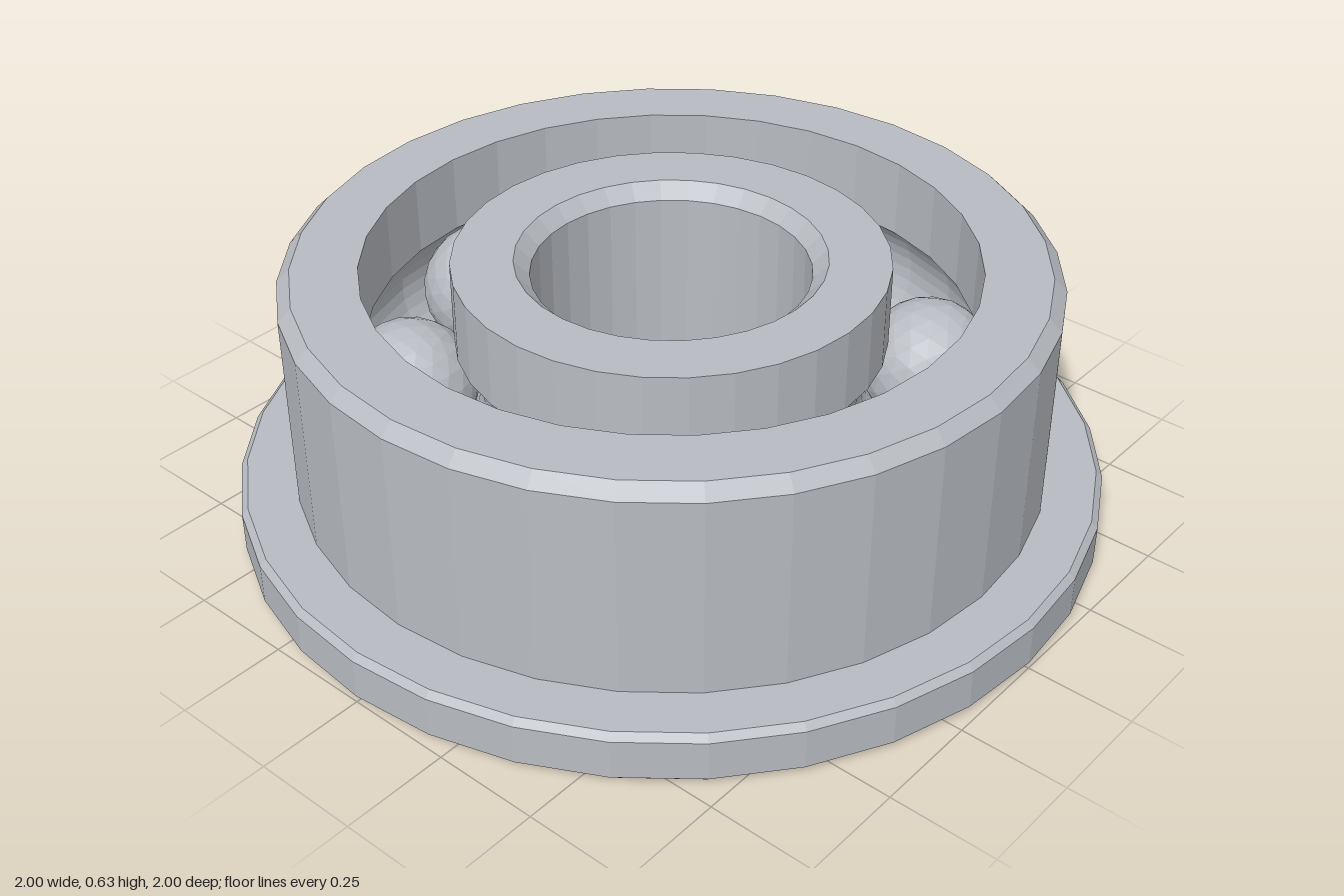
import * as THREE from 'three';

const HEIGHT = 0.63;
const MID = HEIGHT / 2;
const PITCH = 0.595; // radius of the circle of ball centres
const BALL_R = 0.155;
const GROOVE_R = 0.16;
const SIDES = 32;

const steel = new THREE.MeshStandardMaterial({ color: 0xb8bcc2, flatShading: true });
steel.name = 'steel';

// Raceway arc cut into a wall of the given radius, running upward
function groove(wallRadius, steps = 10) {
  const offset = wallRadius - PITCH;
  const side = Math.sign(offset);
  const half = Math.acos(Math.abs(offset) / GROOVE_R);
  const points = [];
  for (let i = 0; i <= steps; i++) {
    const a = -half + (2 * half * i) / steps;
    points.push([PITCH + side * GROOVE_R * Math.cos(a), MID + GROOVE_R * Math.sin(a)]);
  }
  return points;
}

// Closed ring turned from a counterclockwise profile
function ring(name, profile) {
  const points = [...profile, profile[0]].map(([r, y]) => new THREE.Vector2(r, y));
  const mesh = new THREE.Mesh(new THREE.LatheGeometry(points, SIDES), steel);
  mesh.name = name;
  return mesh;
}

export function createModel() {
  const group = new THREE.Group();
  group.name = 'flangedBallBearing';

  // Outer ring with chamfered flange at the bottom
  group.add(ring('outerRing', [
    [0.69, 0], [0.985, 0], [1, 0.015], [1, 0.11], [0.985, 0.125],
    [0.87, 0.125], [0.87, 0.6], [0.84, HEIGHT], [0.69, HEIGHT],
    ...groove(0.69).reverse(),
  ]));

  // Inner ring with chamfered bore
  group.add(ring('innerRing', [
    [0.35, 0], [0.49, 0],
    ...groove(0.49),
    [0.49, HEIGHT], [0.35, HEIGHT], [0.315, HEIGHT - 0.035], [0.315, 0.035],
  ]));

  // Balls between the rings
  const ballGeometry = new THREE.IcosahedronGeometry(BALL_R, 3);
  for (let i = 0; i < 8; i++) {
    const a = (i * Math.PI) / 4;
    const ball = new THREE.Mesh(ballGeometry, steel);
    ball.name = `ball${i + 1}`;
    ball.position.set(PITCH * Math.cos(a), MID, PITCH * Math.sin(a));
    group.add(ball);
  }
  return group;
}
